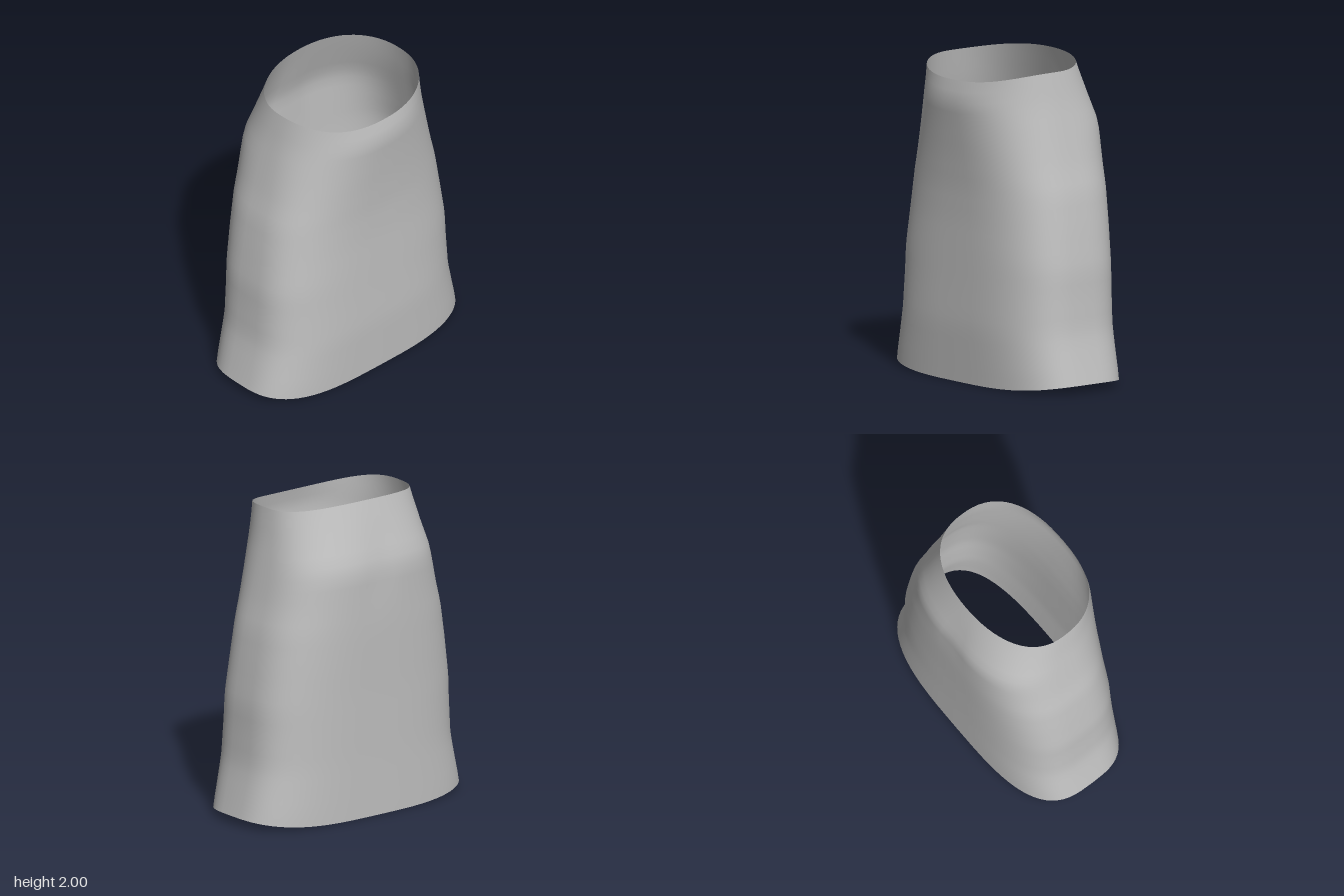
import * as THREE from 'three';

// piecewise-linear lookup through [height, value] pairs
function at(table, y) {
  if (y <= table[0][0]) return table[0][1];
  for (let i = 1; i < table.length; i++) {
    const [y0, a] = table[i - 1], [y1, b] = table[i];
    if (y <= y1) return a + (b - a) * (y - y0) / (y1 - y0);
  }
  return table[table.length - 1][1];
}

// side, front and back outlines, and the squareness of each half section
const WIDTH = [[0.05, 0.82], [0.2, 0.785], [0.36, 0.75], [0.6, 0.735], [0.75, 0.73], [1, 0.695], [1.22, 0.66], [1.36, 0.622], [1.5, 0.592], [1.76, 0.537], [1.95, 0.505]];
const FRONT = [[0, 0.4], [0.36, 0.413], [0.6, 0.408], [1, 0.402], [1.2, 0.405], [1.4, 0.418], [1.6, 0.437], [1.76, 0.455], [1.88, 0.43]];
const BACK = [[0, 0.415], [0.4, 0.42], [0.8, 0.43], [1.2, 0.445], [1.6, 0.455], [1.8, 0.395], [2, 0.335]];
const MIDDLE = [[0, 0], [1.5, 0], [1.95, 0.03]];
const FRONT_POWER = [[0, 3.2], [0.8, 3], [1.4, 2.6], [1.76, 2.2], [1.9, 2.35]];
const BACK_POWER = [[0, 3.2], [1, 3], [1.6, 2.8], [2, 2.15]];

function skirtGeometry(rows = 28, around = 72) {
  const position = [], index = [];
  for (let r = 0; r <= rows; r++) {
    for (let i = 0; i < around; i++) {
      const a = (i / around) * Math.PI * 2;
      const c = Math.cos(a), s = Math.sin(a); // s > 0 is the front
      // the hem lifts at the sides, the waist slopes up to the back
      const hem = 0.05 * c * c;
      const waist = s > 0 ? 1.95 - 0.07 * s * s : 1.95 + 0.05 * s * s;
      const y = THREE.MathUtils.lerp(hem, waist, r / rows);
      const n = at(s > 0 ? FRONT_POWER : BACK_POWER, y);
      const bend = (v) => Math.sign(v) * Math.pow(Math.abs(v), 2 / n);
      const x = at(WIDTH, y) * bend(c);
      const mid = at(MIDDLE, y);
      const depth = s > 0 ? at(FRONT, y) - mid : at(BACK, y) + mid;
      let z = mid + depth * bend(s);
      // shallow hollow down the centre of the seat
      if (s < 0) z += 0.012 * Math.exp(-((x / 0.09) ** 2) - ((y - 1.58) / 0.2) ** 2);
      position.push(x, y, z);
    }
  }
  for (let r = 0; r < rows; r++) {
    for (let i = 0; i < around; i++) {
      const j = (i + 1) % around;
      const a = r * around + i, b = r * around + j;
      const d = a + around, e = b + around;
      index.push(a, d, b, b, d, e);
    }
  }
  const geometry = new THREE.BufferGeometry();
  geometry.setAttribute('position', new THREE.Float32BufferAttribute(position, 3));
  geometry.setIndex(index);
  geometry.computeVertexNormals();
  return geometry;
}

export function createModel() {
  const group = new THREE.Group();
  group.name = 'skirt';
  const cloth = new THREE.MeshStandardMaterial({ color: 0xc0c0c0, side: THREE.DoubleSide });
  cloth.name = 'grey cloth';
  const skirt = new THREE.Mesh(skirtGeometry(), cloth);
  skirt.name = 'skirtCloth';
  group.add(skirt);
  return group;
}
